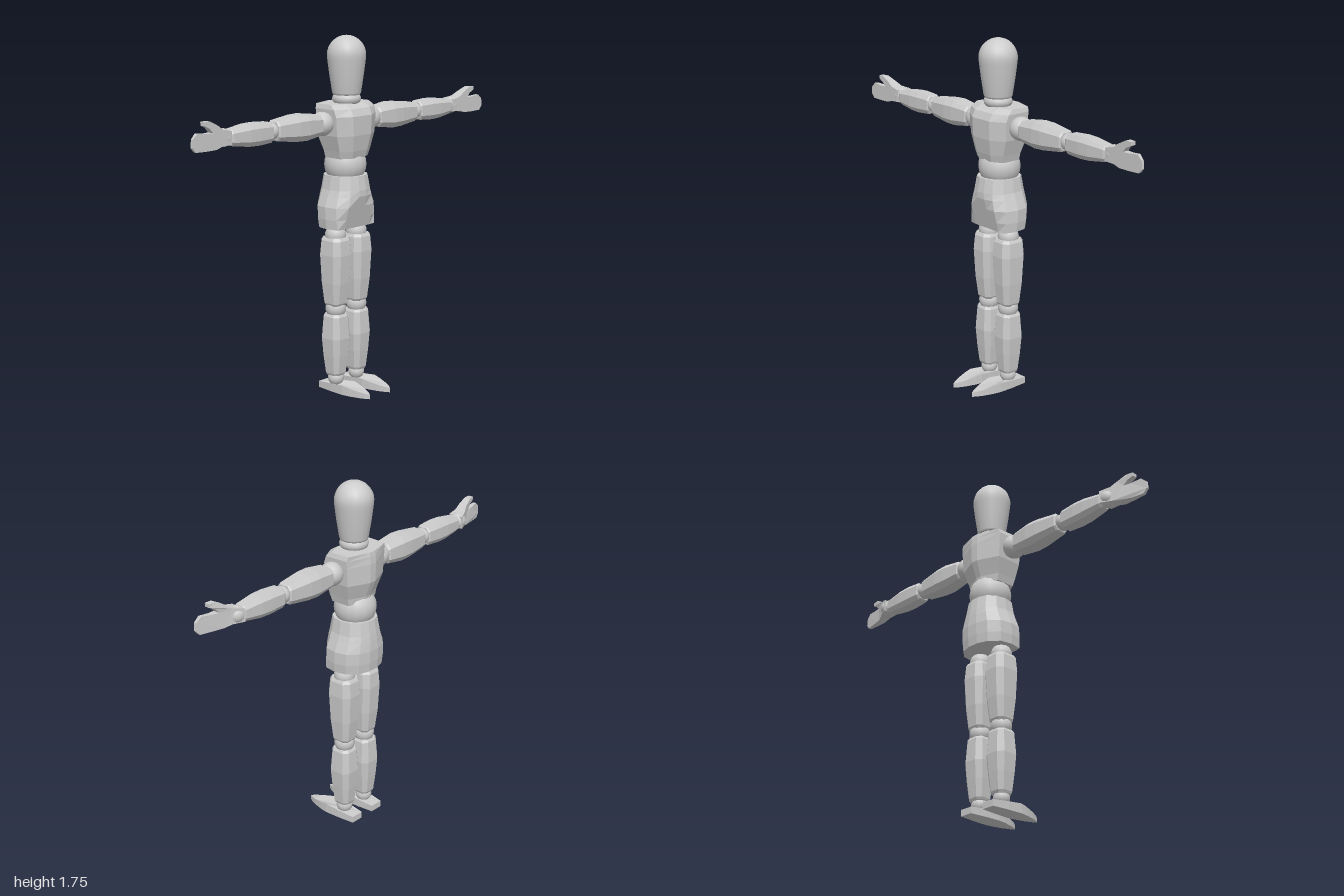
import * as THREE from 'three';

const CX = -0.055; // body axis, the figure looks along +x
const flat = new THREE.MeshStandardMaterial({ color: 0xcccccc, flatShading: true });
const smooth = new THREE.MeshStandardMaterial({ color: 0xcccccc });

// Half outlines [x, z] from front to back, mirrored into full sections
const mirror = (half) => [
  ...half.map(([x, z]) => [x, -z]),
  ...half.slice().reverse().map(([x, z]) => [x, z]),
];
const LIMB = mirror([[1, 0.55], [0.62, 1], [-0.62, 1], [-1, 0.55]]);
const CHEST = mirror([[1, 0.46], [0.62, 1], [-0.59, 0.97], [-1, 0.14]]);
const ROUND = mirror([[1, 0.2], [0.86, 0.6], [0.5, 0.92], [0, 1], [-0.5, 0.92], [-0.86, 0.6], [-1, 0.2]]);

// Skin with capped ends through rows of [y, back x, front x, half z]
function loft(section, rows, rule) {
  const n = section.length, pos = [], index = [];
  for (const [y, back, front, hz] of rows) {
    for (const [u, v] of section) {
      let x = (back + front) / 2 + u * (front - back) / 2;
      if (rule) x = rule(x, y);
      pos.push(x, y, v * hz);
    }
  }
  for (let r = 0; r < rows.length - 1; r++) {
    for (let i = 0; i < n; i++) {
      const a = r * n + i, b = r * n + (i + 1) % n;
      index.push(a, b, b + n, a, b + n, a + n);
    }
  }
  const top = (rows.length - 1) * n;
  for (let i = 1; i < n - 1; i++) {
    index.push(0, i + 1, i);
    index.push(top, top + i, top + i + 1);
  }
  const g = new THREE.BufferGeometry();
  g.setAttribute('position', new THREE.Float32BufferAttribute(pos, 3));
  g.setIndex(index);
  g.computeVertexNormals();
  return g;
}

// Limb segment from rows of [distance, radius x, radius z]
const limb = (rows) => loft(LIMB, rows.map(([y, rx, rz]) => [y, -rx, rx, rz]));

function add(parent, name, geometry, material, x = 0, y = 0, z = 0) {
  const m = new THREE.Mesh(geometry, material);
  m.name = name;
  m.position.set(x, y, z);
  parent.add(m);
  return m;
}

const ball = (r, squash = 1) => new THREE.SphereGeometry(r, 16, 12).scale(1, squash, 1);

// Hand: mitten outline with thumb, flat palm, back thinning to the fingertips
function handGeometry(s) {
  const outline = [
    [0.77, 1.31], [0.825, 1.308], [0.86, 1.297], [0.92, 1.296], [0.98, 1.298], [1, 1.32],
    [0.996, 1.358], [0.97, 1.38], [0.915, 1.374], [0.88, 1.374], [0.9, 1.396],
    [0.93, 1.41], [0.93, 1.427], [0.895, 1.427], [0.85, 1.404], [0.82, 1.383], [0.77, 1.372],
  ].map(([z, y]) => new THREE.Vector2(z * s, y));
  const g = new THREE.ExtrudeGeometry(new THREE.Shape(outline), { depth: 1, bevelEnabled: false });
  g.rotateY(-Math.PI / 2);
  const p = g.attributes.position;
  for (let i = 0; i < p.count; i++) {
    const z = Math.abs(p.getZ(i));
    const back = z < 0.87
      ? THREE.MathUtils.mapLinear(z, 0.77, 0.87, -0.1, -0.055)
      : THREE.MathUtils.mapLinear(z, 0.87, 1, -0.055, -0.03);
    p.setX(i, p.getX(i) < -0.5 ? back : -0.018);
  }
  g.computeVertexNormals();
  return g;
}

// Foot: pointed sole with a low sloping instep
function footGeometry() {
  const side = [[-0.14, 0.034], [-0.05, 0.043], [0.03, 0.046], [0.07, 0.04], [0.12, 0.027], [0.155, 0.013]];
  const pts = [...side, [0.176, 0], ...side.slice().reverse().map(([x, z]) => [x, -z])];
  const g = new THREE.ExtrudeGeometry(
    new THREE.Shape(pts.map(([x, z]) => new THREE.Vector2(x, z))), { depth: 1, bevelEnabled: false });
  g.rotateX(-Math.PI / 2);
  const p = g.attributes.position;
  for (let i = 0; i < p.count; i++) {
    const x = p.getX(i);
    const h = x < 0.03
      ? THREE.MathUtils.mapLinear(x, -0.14, 0.03, 0.032, 0.048)
      : THREE.MathUtils.mapLinear(x, 0.03, 0.176, 0.048, 0.022);
    p.setY(i, p.getY(i) > 0.5 ? h : 0);
  }
  g.computeVertexNormals();
  return g;
}

export function createModel() {
  const model = new THREE.Group();
  model.name = 'jointedMannequin';

  // Head and neck
  const profile = [[0, 1.465], [0.066, 1.465], [0.07, 1.475], [0.083, 1.56], [0.092, 1.63]];
  for (let i = 0; i <= 8; i++) {
    const a = (i / 8) * Math.PI / 2;
    profile.push([0.094 * Math.cos(a), 1.655 + 0.094 * Math.sin(a)]);
  }
  add(model, 'head', new THREE.LatheGeometry(profile.map(([r, y]) => new THREE.Vector2(Math.max(r, 0), y)), 16),
    smooth, -0.05);
  add(model, 'neck', ball(0.07, 0.6), smooth, -0.05, 1.445);

  // Torso
  add(model, 'chest', loft(CHEST, [
    [1.165, -0.135, 0.03, 0.098], [1.2, -0.14, 0.04, 0.107], [1.277, -0.168, 0.054, 0.13],
    [1.37, -0.17, 0.057, 0.138], [1.405, -0.167, 0.04, 0.14], [1.427, -0.163, 0.005, 0.132],
  ]), flat);
  add(model, 'waist', ball(0.103), smooth, -0.059, 1.125);
  // Pelvis with a slanting flat cut at the front for the thighs
  add(model, 'pelvis', loft(ROUND, [
    [0.823, -0.173, 0.075, 0.14], [0.87, -0.178, 0.072, 0.145], [0.93, -0.18, 0.068, 0.144],
    [0.98, -0.176, 0.062, 0.124], [1.01, -0.172, 0.058, 0.113], [1.078, -0.16, 0.046, 0.102],
  ], (x, y) => Math.min(x, 0.06 - 0.25 * Math.max(0, 0.985 - y))), flat);

  for (const s of [1, -1]) {
    // Arm, stretched out sideways
    const arm = new THREE.Group();
    arm.name = 'arm';
    model.add(arm);
    const AY = 1.337;
    add(arm, 'shoulderJoint', ball(0.058), smooth, CX, AY, s * 0.165);
    const upper = limb([
      [0.195, 0.042, 0.042], [0.205, 0.05, 0.05], [0.3, 0.058, 0.062], [0.36, 0.057, 0.06],
      [0.475, 0.044, 0.047], [0.483, 0.038, 0.041],
    ]);
    const fore = limb([
      [0.51, 0.036, 0.04], [0.518, 0.042, 0.047], [0.6, 0.046, 0.052], [0.66, 0.045, 0.05],
      [0.755, 0.036, 0.037], [0.765, 0.031, 0.032],
    ]);
    add(arm, 'upperArm', upper, flat, CX, AY).rotation.x = s * Math.PI / 2;
    add(arm, 'elbowJoint', ball(0.041), smooth, CX, AY, s * 0.498);
    add(arm, 'forearm', fore, flat, CX, AY).rotation.x = s * Math.PI / 2;
    add(arm, 'wristJoint', ball(0.042), smooth, CX - 0.003, AY + 0.003, s * 0.787);
    add(arm, 'hand', handGeometry(s), flat);

    // Leg
    const leg = new THREE.Group();
    leg.name = 'leg';
    leg.position.z = s * 0.073;
    model.add(leg);
    add(leg, 'hipJoint', ball(0.052), smooth, CX, 0.785);
    add(leg, 'thigh', limb([
      [0.435, 0.042, 0.042], [0.447, 0.049, 0.048], [0.55, 0.062, 0.058], [0.69, 0.07, 0.064],
      [0.762, 0.064, 0.058], [0.776, 0.056, 0.05],
    ]), flat, CX);
    add(leg, 'kneeJoint', ball(0.051), smooth, CX, 0.417);
    add(leg, 'shin', limb([
      [0.08, 0.038, 0.038], [0.092, 0.044, 0.043], [0.18, 0.054, 0.053], [0.27, 0.061, 0.06],
      [0.38, 0.053, 0.052], [0.392, 0.046, 0.045],
    ]), flat, CX);
    add(leg, 'ankleJoint', ball(0.04), smooth, CX, 0.062);
    add(leg, 'foot', footGeometry(), flat);
  }
  return model;
}
